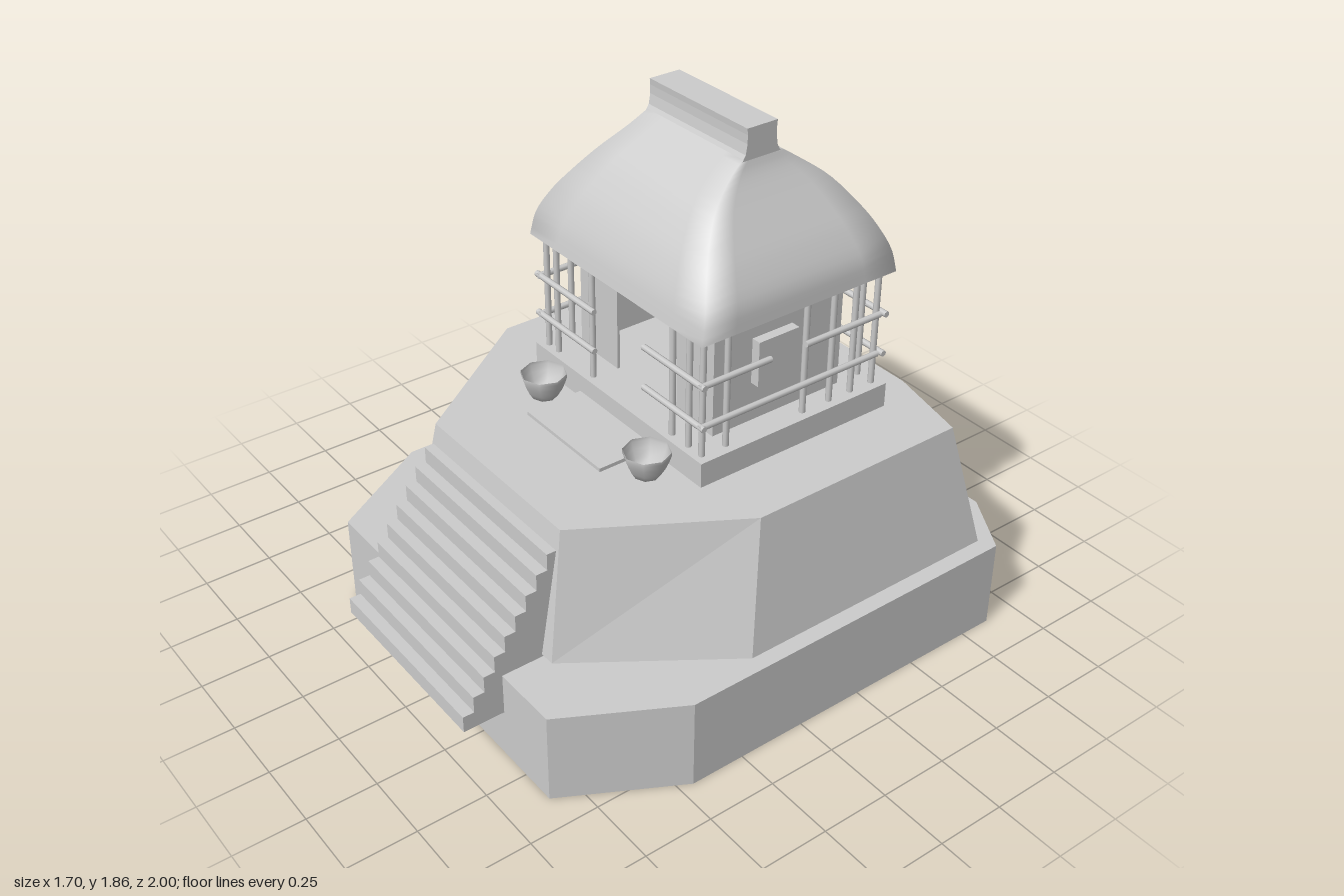
import * as THREE from 'three';

const CX = 0.012, CZ = -0.253; // hut centre
const mat = new THREE.MeshStandardMaterial({ color: 0xcccccc, side: THREE.DoubleSide });

// Skin between successive rings of points; optional flat lid on the last ring
function loft(rings, { closed = true, lid = false, flat = true } = {}) {
  const n = rings[0].length, idx = [];
  for (let r = 0; r < rings.length - 1; r++) {
    for (let i = 0; i < (closed ? n : n - 1); i++) {
      const j = (i + 1) % n, a = r * n + i, b = r * n + j, c = b + n, d = a + n;
      idx.push(a, b, c, a, c, d);
    }
  }
  const last = (rings.length - 1) * n;
  if (lid) for (let i = 1; i < n - 1; i++) idx.push(last, last + i, last + i + 1);
  let g = new THREE.BufferGeometry();
  g.setAttribute('position', new THREE.Float32BufferAttribute(rings.flat(2), 3));
  g.setIndex(idx);
  if (flat) g = g.toNonIndexed();
  g.computeVertexNormals();
  return g;
}

const ring = (pts, y) => pts.map(([x, z]) => [x, y, z]);

export function createModel() {
  const model = new THREE.Group();
  const add = (name, geo, parent = model) => {
    const m = new THREE.Mesh(geo, mat);
    m.name = name;
    parent.add(m);
    return m;
  };
  const group = (name) => {
    const g = new THREE.Group();
    g.name = name;
    model.add(g);
    return g;
  };
  // Box from its minimum and maximum corners
  const box = (name, a, b, parent) => {
    const m = add(name, new THREE.BoxGeometry(b[0] - a[0], b[1] - a[1], b[2] - a[2]), parent);
    m.position.set((a[0] + b[0]) / 2, (a[1] + b[1]) / 2, (a[2] + b[2]) / 2);
    return m;
  };
  // Round pole between two points
  const pole = (name, a, b, parent) => {
    const p = new THREE.Vector3(...a), q = new THREE.Vector3(...b);
    const m = add(name, new THREE.CylinderGeometry(0.011, 0.011, p.distanceTo(q), 8), parent);
    m.position.copy(p).lerp(q, 0.5);
    m.quaternion.setFromUnitVectors(new THREE.Vector3(0, 1, 0), q.sub(p).normalize());
    return m;
  };

  // Lower platform, open underneath
  const base = [[0.85, 0.45], [0.85, -0.87], [0.63, -1], [-0.61, -1],
    [-0.85, -0.87], [-0.85, 0.45], [-0.61, 0.85], [0.63, 0.85]];
  add('lowerPlatform', loft([ring(base, 0), ring(base, 0.333)], { lid: true }));

  // Sloping upper platform
  const low = [[0.8, 0.18], [0.8, -0.83], [0.44, -0.9], [-0.35, -0.9],
    [-0.81, -0.83], [-0.81, 0.18], [-0.39, 0.7], [0.44, 0.7]];
  const high = [[0.71, 0.09], [0.71, -0.74], [0.4, -0.81], [-0.39, -0.81],
    [-0.72, -0.74], [-0.72, 0.09], [-0.34, 0.62], [0.39, 0.62]];
  add('upperPlatform', loft([ring(low, 0.343), ring(high, 0.8)], { lid: true }));

  // Staircase: stepped ribbon with two side panels
  const stairs = group('stairs'), steps = 9, x0 = -0.34, x1 = 0.385;
  const path = [[1, 0.18]];
  for (let i = 0; i < steps; i++) {
    const y = 0.18 + 0.0605 * (i + 1);
    path.push([1 - 0.0415 * i, y], [1 - 0.0415 * (i + 1), y]);
  }
  add('treads', loft(path.map(([z, y]) => [[x0, y, z], [x1, y, z]]), { closed: false }), stairs);
  const side = new THREE.Shape([...path, [0.69, 0.18]].map(([z, y]) => new THREE.Vector2(z, y)));
  for (const x of [x0, x1]) {
    const panel = add('stairSide', new THREE.ShapeGeometry(side).rotateY(-Math.PI / 2), stairs);
    panel.position.x = x;
  }

  // Plinth and doorstep
  box('plinth', [-0.45, 0.8, -0.65], [0.475, 0.89, 0.14]);
  box('doorstep', [-0.185, 0.812, 0.14], [0.228, 0.825, 0.355]);

  // Walls with an open doorway in front
  const walls = group('walls'), wx = 0.362, wz = 0.268, y0 = 0.89, y1 = 1.33, t = 0.01;
  const L = CX - wx, R = CX + wx, B = CZ - wz, F = CZ + wz;
  box('backWall', [L, y0, B], [R, y1, B + t], walls);
  box('rightWall', [L, y0, B], [L + t, y1, F], walls);
  box('leftWall', [R - t, y0, B], [R, y1, F], walls);
  box('frontWallRight', [L, y0, F - t], [-0.14, y1, F], walls);
  box('frontWallLeft', [0.185, y0, F - t], [R, y1, F], walls);

  // Window panels on the sides and back
  const wy0 = 1.035, wy1 = 1.2;
  box('windowLeft', [R, wy0, -0.305], [R + 0.035, wy1, -0.14], walls);
  box('windowRight', [L - 0.035, wy0, -0.305], [L, wy1, -0.14], walls);
  box('windowBack', [-0.07, wy0, B - 0.035], [0.095, wy1, B], walls);

  // Lattice of posts and rails around the walls
  const lattice = group('lattice');
  const px = 0.425, pz = 0.362, rx = 0.442, rz = 0.379;
  const post = (x, z) => pole('post', [x, y0, z], [x, y1, z], lattice);
  for (const x of [-0.355, -0.15, 0.285, 0.37]) post(x, CZ + pz);
  for (const x of [-0.355, -0.15, 0.175, 0.37]) post(x, CZ - pz);
  for (const s of [-1, 1]) {
    for (const z of [0.012, -0.31, -0.425, -0.52]) post(CX + s * px, z);
    for (const z of [-1, 1]) post(CX + s * px, CZ + z * pz);
  }
  for (const y of [1.01, 1.16]) {
    const rail = (a, b) => pole('rail', [a[0], y, a[1]], [b[0], y, b[1]], lattice);
    const f = CZ + rz, b = CZ - rz;
    rail([-0.45, f], [-0.115, f]);
    rail([0.155, f], [0.47, f]);
    // Upper rails break at the windows, lower ones run through
    const spansZ = y > 1.1 ? [[0.135, -0.15], [-0.295, -0.615]] : [[0.135, -0.615]];
    const spansX = y > 1.1 ? [[-0.45, -0.07], [0.095, 0.47]] : [[-0.45, 0.47]];
    for (const s of [-1, 1]) {
      for (const [p, q] of spansZ) rail([CX + s * rx, p], [CX + s * rx, q]);
    }
    for (const [p, q] of spansX) rail([p, b], [q, b]);
  }

  // Thatched roof: rectangular sections [y, half width, half depth], smoothed
  const sections = [[1.317, 0.463, 0.4], [1.4, 0.452, 0.381], [1.49, 0.408, 0.343],
    [1.56, 0.362, 0.3], [1.647, 0.302, 0.23], [1.717, 0.258, 0.14], [1.765, 0.24, 0.07]];
  const curve = new THREE.CatmullRomCurve3(sections.map((s) => new THREE.Vector3(...s)));
  const N = 6;
  const rect = (y, hx, hz) => {
    const corners = [[1, 1], [1, -1], [-1, -1], [-1, 1]], pts = [];
    corners.forEach(([ax, az], k) => {
      const [bx, bz] = corners[(k + 1) % 4];
      for (let i = 0; i < N; i++) {
        const u = i / N;
        pts.push([CX + hx * (ax + (bx - ax) * u), y, CZ + hz * (az + (bz - az) * u)]);
      }
    });
    return pts;
  };
  add('roof', loft(curve.getPoints(20).map((p) => rect(p.x, p.y, p.z)), { lid: true, flat: false }));
  add('eaves', loft([rect(1.328, wx - 0.01, wz - 0.01), rect(1.317, 0.463, 0.4)]));

  // Ridge cap with hollowed sides
  const half = [[0.076, 1.755], [0.064, 1.775], [0.058, 1.81], [0.058, 1.84], [0.06, 1.862]];
  const capShape = new THREE.Shape([...half.map(([z, y]) => new THREE.Vector2(z, y)),
    ...half.map(([z, y]) => new THREE.Vector2(-z, y)).reverse()]);
  const cap = add('ridgeCap', new THREE.ExtrudeGeometry(capShape, { depth: 0.49, bevelEnabled: false })
    .rotateY(-Math.PI / 2));
  cap.position.set(0.257, 0, CZ + 0.003);

  // Pair of bowls beside the doorstep
  const bowl = [[0, 0], [0.045, 0], [0.06, 0.025], [0.073, 0.055], [0.08, 0.078], [0.08, 0.09]]
    .map((p) => new THREE.Vector2(...p));
  for (const x of [-0.27, 0.312]) {
    add('bowl', new THREE.LatheGeometry(bowl, 8)).position.set(x, 0.8, 0.23);
  }

  return model;
}
